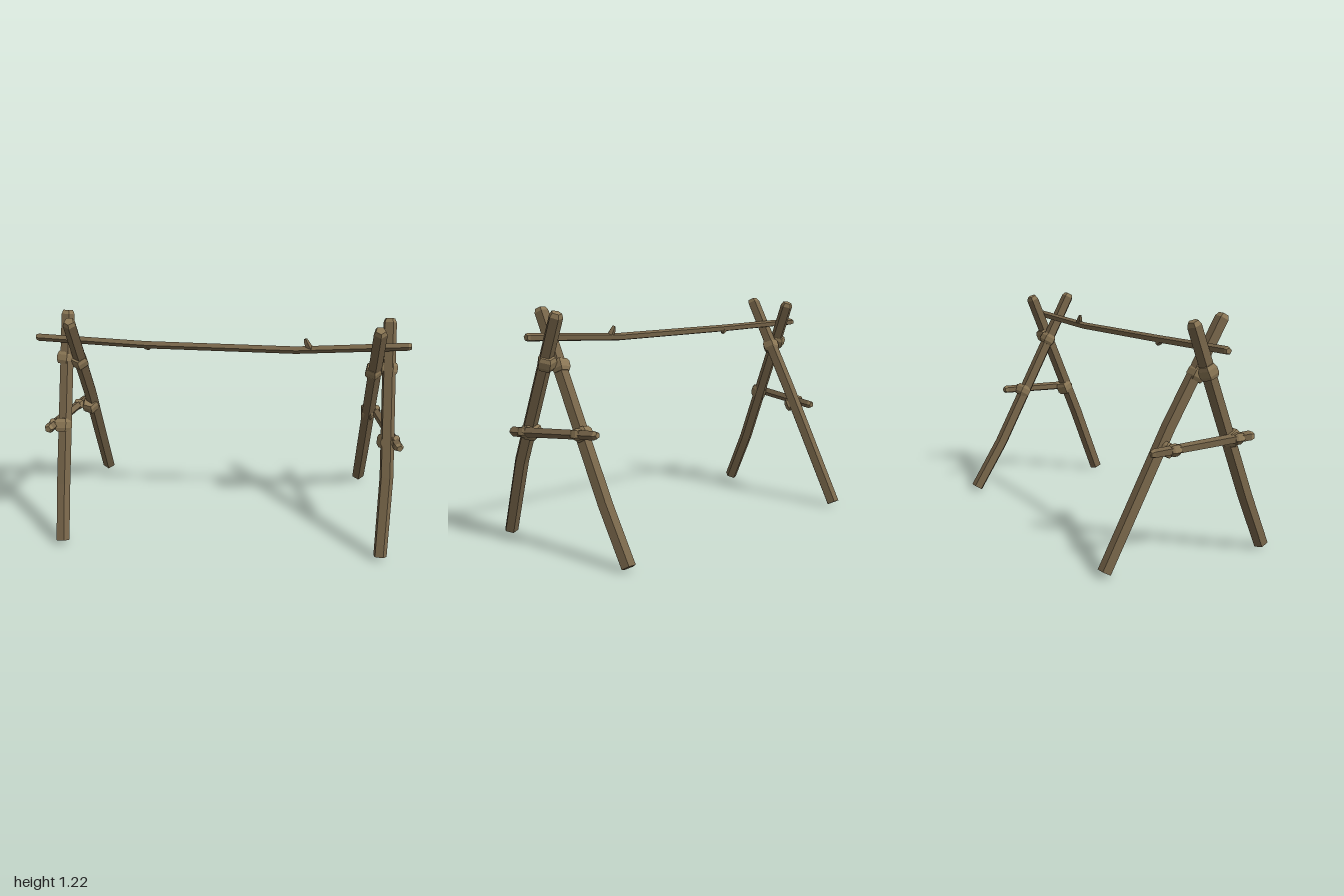
import * as THREE from 'three';

const wood = new THREE.MeshStandardMaterial({ color: 0x78664a });
wood.name = 'brown wood';
const pale = new THREE.MeshStandardMaterial({ color: 0x8c7856 });
pale.name = 'pale cut wood and binding';

const V = (p) => new THREE.Vector3(...p);

// Five-sided faceted bar along a path. paleStart/paleEnd paint the chamfered tips.
function bar(name, path, radii, { ref = [1, 0, 0], turn = 0, paleStart = false, paleEnd = false, mats = [wood, pale] } = {}) {
  const sides = 5, pts = path.map(V), last = pts.length - 1;
  const rings = pts.map((p, i) => {
    const d = pts[Math.min(i + 1, last)].clone().sub(pts[Math.max(i - 1, 0)]).normalize();
    const u = V(ref).addScaledVector(d, -V(ref).dot(d)).normalize();
    const v = d.clone().cross(u);
    return Array.from({ length: sides }, (_, k) => {
      const a = turn + (k / sides) * Math.PI * 2;
      return p.clone().addScaledVector(u, radii[i] * Math.cos(a)).addScaledVector(v, radii[i] * Math.sin(a));
    });
  });
  const pos = [], geo = new THREE.BufferGeometry();
  const tri = (...t) => t.forEach((q) => pos.push(q.x, q.y, q.z));
  const section = (isPale, fill) => {
    const from = pos.length / 3;
    fill();
    geo.addGroup(from, pos.length / 3 - from, isPale ? 1 : 0);
  };
  for (let i = 0; i < last; i++) {
    section((i === 0 && paleStart) || (i === last - 1 && paleEnd), () => {
      for (let k = 0; k < sides; k++) {
        const n = (k + 1) % sides, a = rings[i], b = rings[i + 1];
        tri(a[k], a[n], b[n]);
        tri(a[k], b[n], b[k]);
      }
    });
  }
  section(paleStart, () => rings[0].forEach((q, k, r) => tri(pts[0], r[(k + 1) % sides], q)));
  section(paleEnd, () => rings[last].forEach((q, k, r) => tri(pts[last], q, r[(k + 1) % sides])));
  geo.setAttribute('position', new THREE.Float32BufferAttribute(pos, 3));
  geo.computeVertexNormals();
  const mesh = new THREE.Mesh(geo, mats);
  mesh.name = name;
  return mesh;
}

// Point a set distance in from the end of a path
const inset = (end, next, d) => V(end).add(V(next).sub(V(end)).setLength(d)).toArray();

// Leg: square-cut foot, one slight bend, chamfered top
function leg(name, foot, bend, top, turn) {
  const path = [foot, bend, inset(top, bend, 0.022), top];
  return bar(name, path, [0.037, 0.038, 0.037, 0.027], { turn, paleEnd: true });
}

// Binding: short swollen collar around a pole
function binding(name, centre, dir, r, half, turn) {
  const d = V(dir).normalize();
  const path = [-1, -0.45, 0.45, 1].map((t) => V(centre).addScaledVector(d, t * half).toArray());
  return bar(name, path, [r * 0.8, r, r, r * 0.8], { turn, mats: [pale, pale] });
}

// Brace: thin stick chamfered at both tips
function brace(name, a, b) {
  const path = [a, inset(a, b, 0.018), inset(b, a, 0.018), b];
  return bar(name, path, [0.018, 0.027, 0.024, 0.016], { ref: [0, 1, 0], turn: 0.3, paleStart: true, paleEnd: true });
}

// Pair of crossed legs with its brace and bindings
function trestle(name, s) {
  const g = new THREE.Group();
  g.name = name;
  g.add(leg('frontLeg', s.front[0], s.front[1], s.front[2], 0.1));
  g.add(leg('backLeg', s.back[0], s.back[1], s.back[2], -0.25));
  g.add(brace('sideBrace', s.brace[0], s.brace[1]));
  const up = [0, 1.17, -0.47], lean = [0, 1.18, 0.66];
  const braceDir = V(s.brace[1]).sub(V(s.brace[0])).toArray();
  g.add(binding('frontUpperBinding', [s.fx, 0.947, 0.068], [0.12, 1.17, -0.47], 0.05, 0.034, 0.1));
  g.add(binding('backUpperBinding', [s.bx, 0.925, 0.058], [-0.12, 1.18, 0.66], 0.05, 0.032, -0.2));
  g.add(binding('frontLowerBinding', [s.fx + s.out * 0.005, s.fy, 0.212], up, 0.051, 0.036, 0.3));
  g.add(binding('backLowerBinding', [s.bx + s.out * 0.005, s.by, -0.122], lean, 0.049, 0.034, 0));
  // Turns of binding over the brace where it meets each leg
  [0.15, 0.77].forEach((t) => {
    const c = V(s.brace[0]).lerp(V(s.brace[1]), t).toArray();
    g.add(binding('braceBinding', c, braceDir, 0.033, 0.024, 0.4));
  });
  return g;
}

export function createModel() {
  const model = new THREE.Group();
  model.name = 'woodenFrame';

  model.add(trestle('leftTrestle', {
    front: [[0.89, 0.015, 0.447], [0.904, 0.42, 0.302], [0.888, 1.195, -0.02]],
    back: [[0.822, 0.018, -0.452], [0.82, 0.29, -0.28], [0.822, 1.205, 0.213]],
    brace: [[0.962, 0.585, 0.292], [0.832, 0.622, -0.248]],
    fx: 0.893, bx: 0.818, fy: 0.588, by: 0.607, out: 1,
  }));
  model.add(trestle('rightTrestle', {
    front: [[-0.842, 0.015, 0.443], [-0.849, 0.3, 0.318], [-0.842, 1.19, -0.02]],
    back: [[-0.773, 0.018, -0.452], [-0.768, 0.68, -0.095], [-0.776, 1.205, 0.213]],
    brace: [[-0.912, 0.622, 0.305], [-0.828, 0.578, -0.235]],
    fx: -0.852, bx: -0.776, fy: 0.61, by: 0.58, out: -1,
  }));

  // Sagging top pole resting in the crossed legs
  model.add(bar('topPole',
    [[-1, 1.063, 0.07], [-0.985, 1.063, 0.071], [-0.4, 1.05, 0.1], [0.4, 1.045, 0.097], [0.985, 1.077, 0.079], [1, 1.078, 0.078]],
    [0.016, 0.021, 0.021, 0.021, 0.022, 0.017],
    { ref: [0, 1, 0], turn: 0.2, paleStart: true, paleEnd: true }));

  // Broken twig stubs on the pole
  model.add(bar('upperTwig', [[0.475, 1.05, 0.095], [0.455, 1.085, 0.092], [0.448, 1.105, 0.09]], [0.02, 0.016, 0.009]));
  model.add(bar('lowerTwig', [[-0.405, 1.05, 0.1], [-0.387, 1.032, 0.095], [-0.38, 1.022, 0.092]], [0.02, 0.016, 0.009]));

  return model;
}
